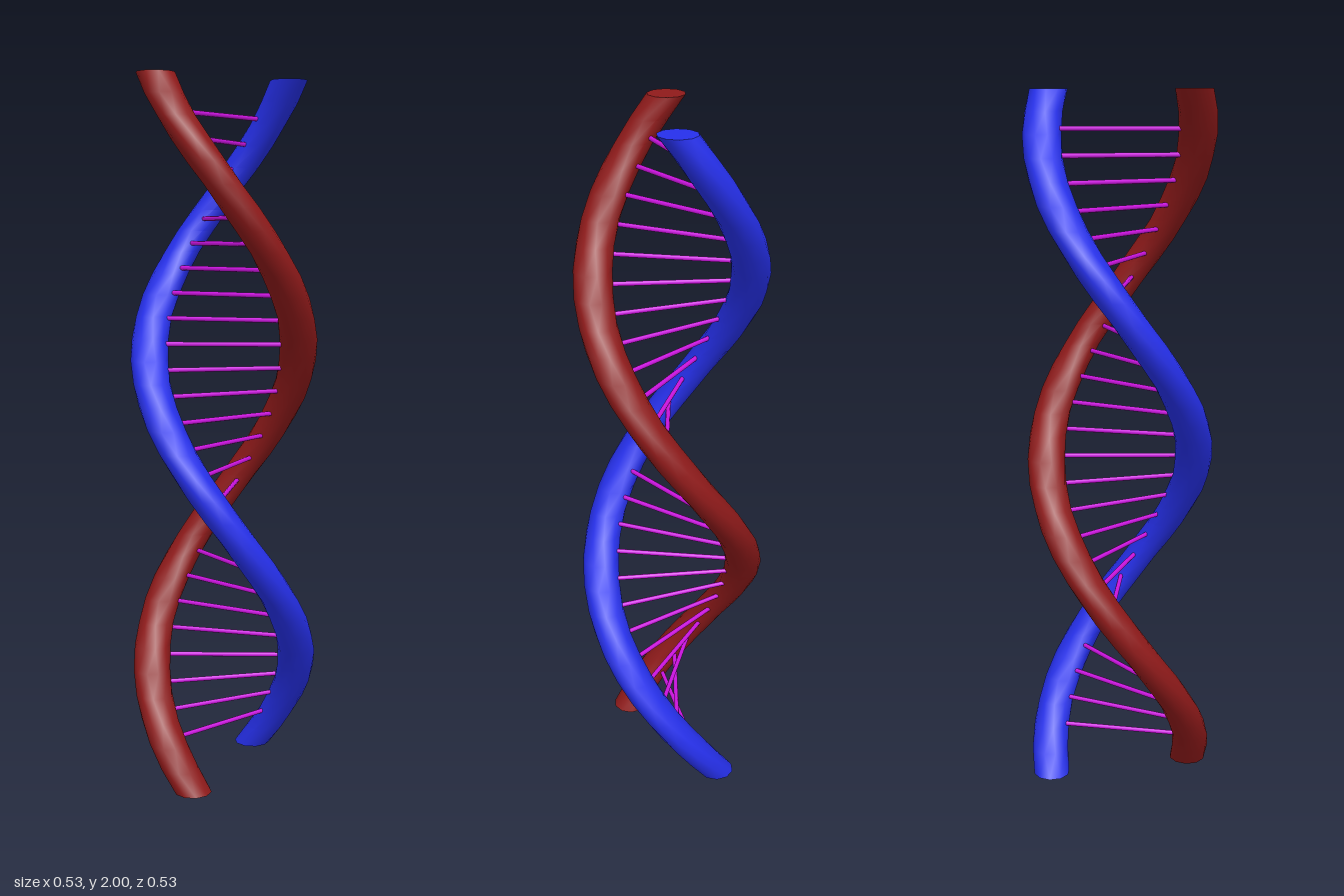
import * as THREE from 'three';
import { toCreasedNormals } from 'three/addons/utils/BufferGeometryUtils.js';

const HEIGHT = 2;
const HELIX_RADIUS = 0.2125;
const STRAND_RADIUS = 0.0535;
const TWIST = THREE.MathUtils.degToRad(198); // turn per unit of height

const angleAt = (y) => (y - HEIGHT / 2) * TWIST;

// A straight ten-sided column, offset from the axis and screwed around it,
// so that both ends stay flat and level.
function strandGeometry(phase) {
  const geometry = new THREE.CylinderGeometry(
    STRAND_RADIUS, STRAND_RADIUS, HEIGHT, 10, 33, false, Math.PI / 2);
  geometry.translate(HELIX_RADIUS, HEIGHT / 2, 0);
  const pos = geometry.attributes.position;
  for (let i = 0; i < pos.count; i++) {
    const x = pos.getX(i), y = pos.getY(i), z = pos.getZ(i);
    const a = angleAt(y) + phase;
    pos.setXYZ(i, x * Math.cos(a) - z * Math.sin(a), y, x * Math.sin(a) + z * Math.cos(a));
  }
  return toCreasedNormals(geometry, 0.85);
}

export function createModel() {
  const model = new THREE.Group();
  model.name = 'doubleHelix';

  // Two intertwined strands
  const strands = [
    ['redStrand', 0x8f1a1a, 0],
    ['blueStrand', 0x2630ec, Math.PI],
  ];
  for (const [name, color, phase] of strands) {
    const strand = new THREE.Mesh(
      strandGeometry(phase), new THREE.MeshStandardMaterial({ color }));
    strand.name = name;
    model.add(strand);
  }

  // Thin rungs between the strands, each set slightly beside the axis
  const rungs = new THREE.Group();
  rungs.name = 'rungs';
  const rungGeometry = new THREE.CylinderGeometry(0.0068, 0.0068, 0.4, 8);
  rungGeometry.rotateZ(Math.PI / 2).translate(0, 0, 0.0122);
  const rungMaterial = new THREE.MeshStandardMaterial({ color: 0xcc14e0 });
  const count = 26;
  for (let i = 0; i < count; i++) {
    const y = 0.125 + (i * 1.77) / (count - 1);
    const rung = new THREE.Mesh(rungGeometry, rungMaterial);
    rung.name = `rung${i + 1}`;
    rung.position.y = y;
    rung.rotation.y = -angleAt(y);
    rungs.add(rung);
  }
  model.add(rungs);

  return model;
}
